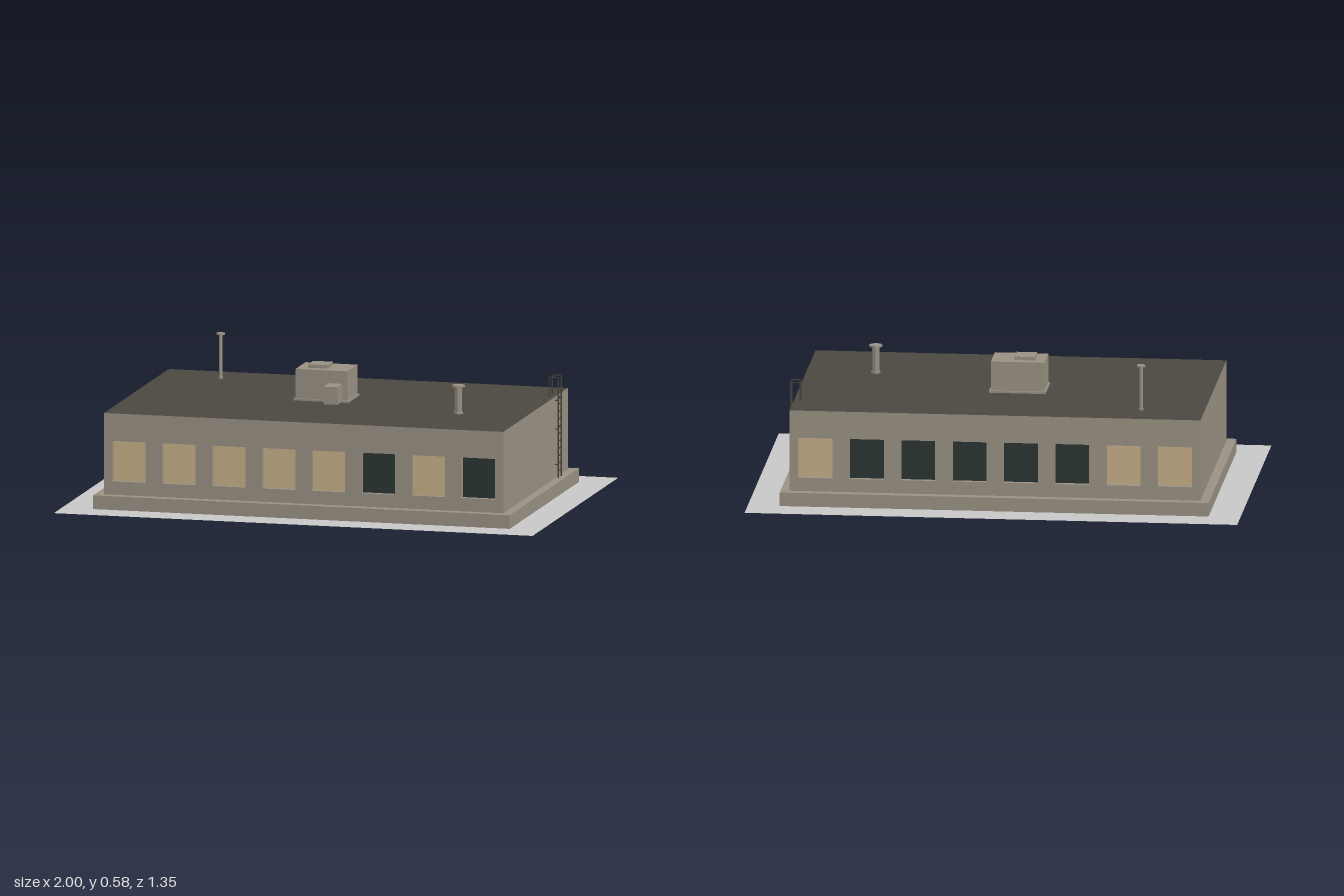
import * as THREE from 'three';
import { mergeGeometries } from 'three/addons/utils/BufferGeometryUtils.js';

const mat = (name, color, side = THREE.FrontSide) =>
  new THREE.MeshStandardMaterial({ name, color, side, flatShading: true });

const W = 1.668, D = 1.022, BASE = 0.056, ROOF = 0.39; // main block
const PW = 1.741, PD = 1.093;                          // plinth footprint

export function createModel() {
  const model = new THREE.Group();
  model.name = 'building';
  const concrete = mat('concrete', 0x9a9284, THREE.DoubleSide);
  const roofing = mat('roofing', 0x4c4741, THREE.DoubleSide);
  const paving = mat('paving', 0xc8c8c8, THREE.DoubleSide);
  const litGlass = mat('litGlass', 0xc8b08a, THREE.DoubleSide);
  const darkGlass = mat('darkGlass', 0x2b3534, THREE.DoubleSide);
  const steel = mat('steel', 0x45423c);

  const add = (name, geometry, material, parent = model) => {
    const mesh = new THREE.Mesh(geometry, material);
    mesh.name = name;
    parent.add(mesh);
    return mesh;
  };
  const rect = (Type, x0, y0, x1, y1) => new Type([
    new THREE.Vector2(x0, y0), new THREE.Vector2(x1, y0),
    new THREE.Vector2(x1, y1), new THREE.Vector2(x0, y1)]);
  const box = (name, x0, x1, y0, y1, z0, z1, material, parent) =>
    add(name, new THREE.BoxGeometry(x1 - x0, y1 - y0, z1 - z0)
      .translate((x0 + x1) / 2, (y0 + y1) / 2, (z0 + z1) / 2), material, parent);
  // Flat horizontal frame around a rectangular opening
  const frame = (w, d, iw, id, y) => {
    const shape = rect(THREE.Shape, -w / 2, -d / 2, w / 2, d / 2);
    shape.holes.push(rect(THREE.Path, -iw / 2, -id / 2, iw / 2, id / 2));
    return new THREE.ShapeGeometry(shape).rotateX(-Math.PI / 2).translate(0, y, 0);
  };

  // Ground apron and hollow plinth
  add('pavement', frame(2, 1.352, PW, PD, 0), paving);
  const skirt = [0, 1, 2, 3].map(i => {
    const [len, off] = i % 2 ? [PD, PW / 2] : [PW, PD / 2];
    return new THREE.PlaneGeometry(len, BASE).translate(0, BASE / 2, off).rotateY(i * Math.PI / 2);
  });
  add('plinthSides', mergeGeometries(skirt), concrete);
  add('plinthLedge', frame(PW, PD, W, D, BASE), concrete);

  // End walls and roof
  for (const s of [1, -1]) {
    add(s > 0 ? 'leftWall' : 'rightWall', new THREE.PlaneGeometry(D, ROOF - BASE)
      .rotateY(s * Math.PI / 2).translate(s * W / 2, (ROOF + BASE) / 2, 0), concrete);
  }
  add('roof', new THREE.PlaneGeometry(W, D).rotateX(-Math.PI / 2).translate(0, ROOF, 0), roofing);

  // Long walls with recessed windows; 1 = lit, 0 = dark, along local x
  const winW = 0.139, y0 = 0.111, y1 = 0.277, depth = 0.02, winH = y1 - y0, yc = (y0 + y1) / 2;
  const longWall = (name, pattern) => {
    const side = new THREE.Group();
    side.name = name;
    model.add(side);
    const shape = rect(THREE.Shape, -W / 2, BASE, W / 2, ROOF);
    const reveals = [];
    pattern.forEach((lit, i) => {
      const x = -W / 2 + (i + 0.5) * W / pattern.length;
      shape.holes.push(rect(THREE.Path, x - winW / 2, y0, x + winW / 2, y1));
      for (const s of [1, -1]) {
        reveals.push(
          new THREE.PlaneGeometry(depth, winH).rotateY(-s * Math.PI / 2)
            .translate(x + s * winW / 2, yc, D / 2 - depth / 2),
          new THREE.PlaneGeometry(winW, depth).rotateX(s * Math.PI / 2)
            .translate(x, yc + s * winH / 2, D / 2 - depth / 2));
      }
      add('windowPane', new THREE.PlaneGeometry(winW, winH).translate(x, yc, D / 2 - depth),
        lit ? litGlass : darkGlass, side);
    });
    add('wall', new THREE.ShapeGeometry(shape).translate(0, 0, D / 2), concrete, side);
    add('windowReveals', mergeGeometries(reveals), concrete, side);
    return side;
  };
  longWall('frontWall', [1, 1, 1, 1, 1, 0, 1, 0]);
  longWall('backWall', [1, 0, 0, 0, 0, 0, 1, 1]).rotation.y = Math.PI;

  // Rooftop ventilation unit
  const unit = new THREE.Group();
  unit.name = 'ventilationUnit';
  model.add(unit);
  box('unitBase', -0.166, 0.063, 0.388, 0.398, -0.132, 0.042, concrete, unit);
  box('unitBody', -0.16, 0.057, 0.398, 0.518, -0.124, 0.034, concrete, unit);
  box('unitHatch', -0.118, -0.036, 0.518, 0.532, -0.088, -0.005, concrete, unit);
  box('unitDuct', -0.021, 0.036, 0.394, 0.466, 0.034, 0.116, concrete, unit);

  // Exhaust pipes with a collar and a flat cap
  const pipe = (name, x, z, r, top, capR) => {
    const group = new THREE.Group();
    group.name = name;
    group.position.set(x, 0, z);
    model.add(group);
    const part = (n, rad, a, b) => add(n, new THREE.CylinderGeometry(rad, rad, b - a, 8)
      .translate(0, (a + b) / 2, 0), concrete, group);
    part('collar', r * 1.25, ROOF, ROOF + 0.008);
    part('shaft', r, ROOF, top);
    part('cap', capR, top, top + 0.007);
  };
  pipe('tallPipe', -0.577, -0.36, 0.008, 0.57, 0.018);
  pipe('shortPipe', 0.553, 0.157, 0.0155, 0.5, 0.027);

  // Roof ladder on the end wall: hooped rails, brackets and rungs
  const ladder = new THREE.Group();
  ladder.name = 'ladder';
  model.add(ladder);
  const t = 0.002, rx = 0.846, hx = 0.808, zs = [-0.359, -0.311];
  for (const z of zs) {
    box('rail', rx - t, rx + t, BASE, 0.471, z - t, z + t, steel, ladder);
    box('railTop', hx - t, rx + t, 0.467, 0.471, z - t, z + t, steel, ladder);
    box('railHook', hx - t, hx + t, ROOF, 0.471, z - t, z + t, steel, ladder);
    for (const y of [0.112, 0.257, 0.375])
      box('bracket', W / 2, rx, y - t, y + t, z - t, z + t, steel, ladder);
  }
  for (let i = 0; i < 11; i++) {
    const y = 0.086 + i * 0.0302;
    box('rung', rx - t, rx + t, y - t, y + t, zs[0], zs[1], steel, ladder);
  }
  return model;
}
